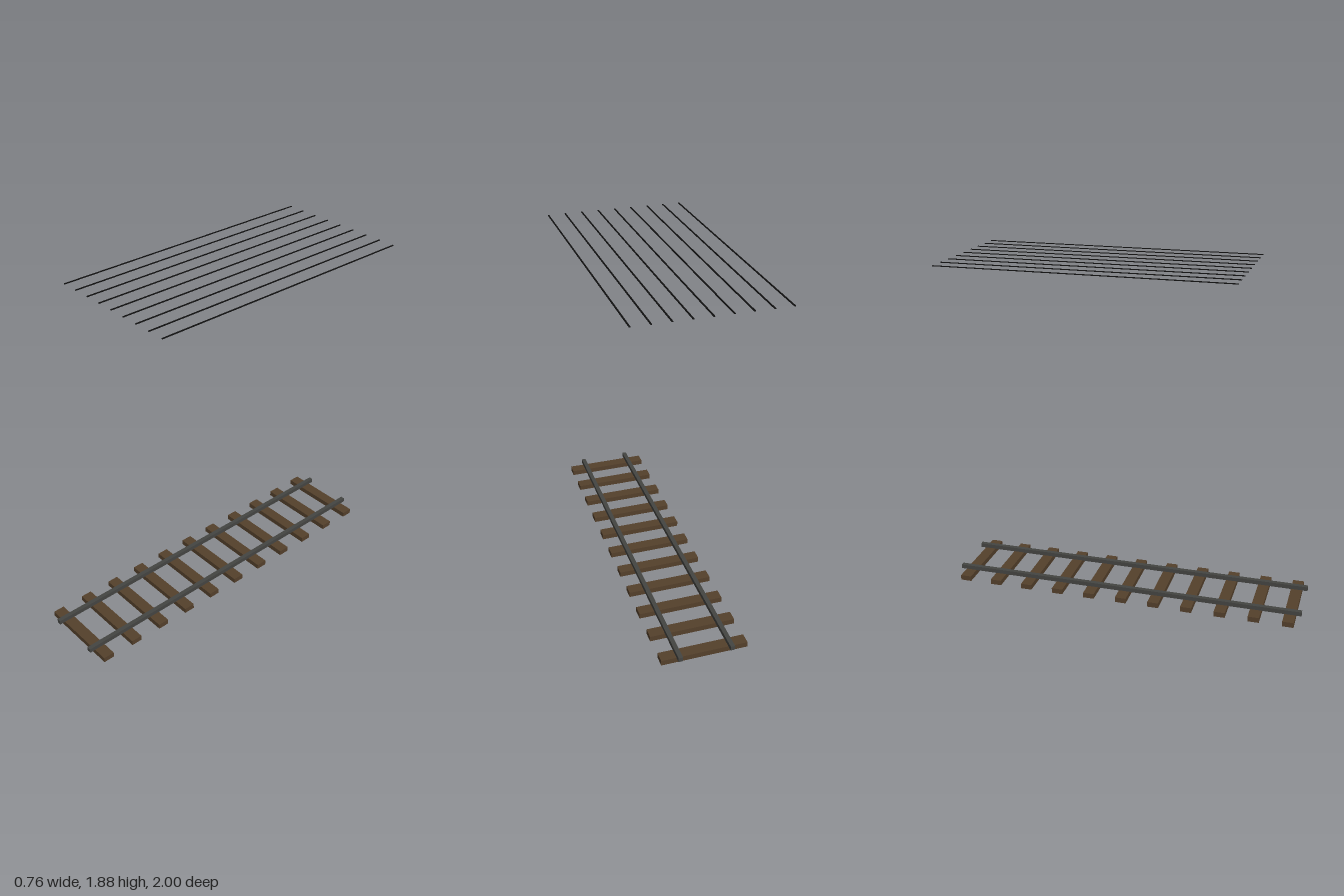
import * as THREE from 'three';

const wood = new THREE.MeshStandardMaterial({ color: 0x54402b });
wood.name = 'brown wood';
const steel = new THREE.MeshStandardMaterial({ color: 0x444542 });
steel.name = 'dark steel';
const black = new THREE.MeshStandardMaterial({ color: 0x111111 });
black.name = 'black wire';

function addBox(parent, name, material, size, position) {
  const mesh = new THREE.Mesh(new THREE.BoxGeometry(...size), material);
  mesh.name = name;
  mesh.position.set(...position);
  parent.add(mesh);
}

export function createModel() {
  const model = new THREE.Group();
  model.name = 'railwayTrack';

  // Eleven evenly spaced wooden sleepers
  const sleepers = new THREE.Group();
  sleepers.name = 'sleepers';
  for (let i = -5; i <= 5; i++) {
    addBox(sleepers, 'sleeper', wood, [0.47, 0.029, 0.0625], [0, 0.0145, i * 0.1875]);
  }

  // Two rails resting on the sleepers
  const rails = new THREE.Group();
  rails.name = 'rails';
  for (const side of [-1, 1]) {
    const name = side > 0 ? 'leftRail' : 'rightRail';
    addBox(rails, name, steel, [0.024, 0.024, 2], [side * 0.141, 0.04, 0]);
  }

  // Nine overhead wires, offset toward the back
  const wires = new THREE.Group();
  wires.name = 'overheadWires';
  for (let i = -4; i <= 4; i++) {
    addBox(wires, 'overheadWire', black, [0.007, 0.004, 1.565], [i * 0.0938, 1.877, -0.158]);
  }

  model.add(sleepers, rails, wires);
  return model;
}
